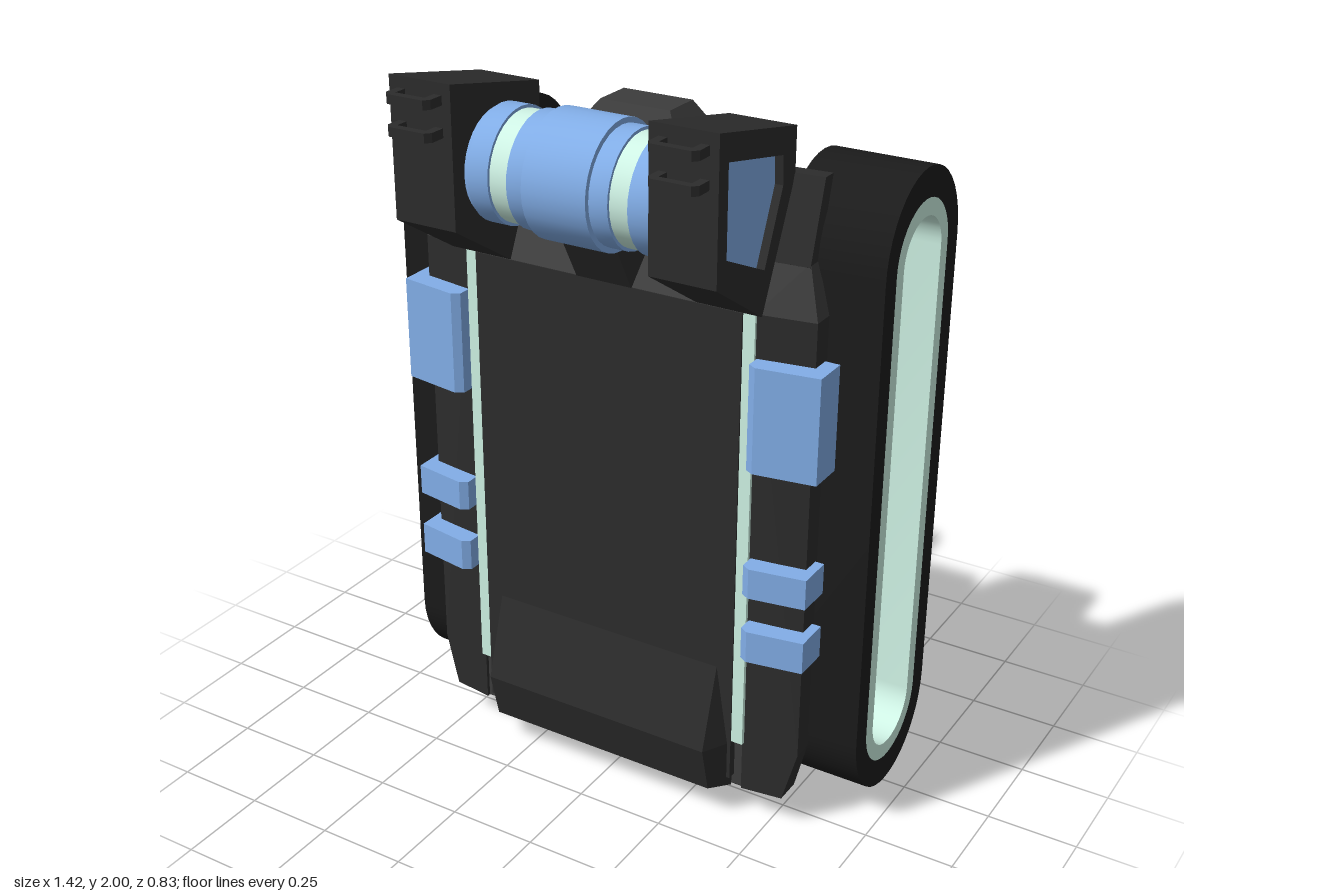
import * as THREE from 'three';
import { toCreasedNormals } from 'three/addons/utils/BufferGeometryUtils.js';
import { ConvexGeometry } from 'three/addons/geometries/ConvexGeometry.js';

const material = (color) => new THREE.MeshStandardMaterial({ color });

export function createModel() {
  const model = new THREE.Group();
  const shell = material(0x3c3c3c);
  const body = material(0x2c2c2c);
  const dark = material(0x1b1b1b);
  const blue = material(0x82aee8);
  const mint = material(0xd0f4e6);

  const add = (name, geometry, mat) => {
    const mesh = new THREE.Mesh(geometry, mat);
    mesh.name = name;
    model.add(mesh);
  };

  // Flat-faced solid around corner points
  const hull = (name, points, mat) =>
    add(name, new ConvexGeometry(points.map((p) => new THREE.Vector3(...p))), mat);

  // Corner points [x, y, z] repeated on both sides
  const both = (points) => points.flatMap(([x, y, z]) => [[x, y, z], [-x, y, z]]);

  // Side outline given as [z, y], extruded across x on side s
  const extrudeX = (name, outline, s, x0, x1, mat, hole) => {
    const toPoints = (list) => list.map(([z, y]) => new THREE.Vector2(-z, y));
    const shape = new THREE.Shape(toPoints(outline));
    // The hole runs the opposite way so that its walls face inward
    if (hole) shape.holes.push(new THREE.Path(toPoints(hole).reverse()));
    const geometry = new THREE.ExtrudeGeometry(shape, { depth: x1 - x0, bevelEnabled: false });
    geometry.rotateY(Math.PI / 2);
    geometry.translate(s > 0 ? x0 : -x1, 0, 0);
    add(name, toCreasedNormals(geometry, 0.45), mat);
  };

  // Long loop with rounded ends
  const loop = (halfWidth, arc) => {
    const points = [];
    for (let end = 0; end < 2; end++) {
      for (let i = 0; i <= 20; i++) {
        const a = Math.PI * (end + i / 20);
        points.push([
          -0.203 + halfWidth * Math.cos(a),
          0.93 + (end ? -0.65 : 0.65) + arc * Math.sin(a),
        ]);
      }
    }
    return points;
  };

  // Main body with sloped top and bottom
  hull('mainBody', both([
    [0.43, 0.2, -0.21], [0.43, 1.52, -0.21],
    [0.385, 1.62, -0.17], [0.385, 1.62, -0.02], [0.435, 1.6, -0.06],
    [0.435, 1.6, 0], [0.43, 1.48, 0.09], [0.43, 0.09, 0.09], [0.39, 0.07, -0.15],
  ]), shell);
  hull('lowerSkid', both([
    [0.39, 0.1, 0.03], [0.39, 0.07, 0.015], [0.38, 0, -0.015],
    [0.38, 0.02, -0.11], [0.39, 0.05, -0.13], [0.41, 0.14, -0.18],
  ]), shell);
  hull('frontPanel', both([
    [0.392, 0.12, 0.05], [0.392, 0.12, 0.115], [0.392, 1.48, 0.117], [0.392, 1.48, 0.05],
  ]), body);
  hull('frontSlope', both([
    [0.392, 1.478, 0.116], [0.385, 1.62, -0.02], [0.392, 1.478, -0.02],
  ]), shell);
  hull('frontBumper', both([
    [0.345, 0.48, 0.11], [0.345, 0.23, 0.185], [0.345, 0.09, 0.15],
    [0.39, 0.23, 0.1], [0.39, 0.09, 0.1], [0.345, 0.09, 0.03], [0.345, 0.48, 0.05],
  ]), body);

  // Rear top block and the neck holding the drum
  hull('rearBlock', both([
    [0.14, 1.5, -0.185], [0.14, 1.84, -0.165], [0.1, 1.895, -0.14],
    [0.1, 1.895, -0.03], [0.14, 1.84, 0.01], [0.14, 1.5, 0.02],
  ]), shell);
  hull('drumNeck', both([
    [0.08, 1.48, 0], [0.08, 1.48, 0.118], [0.08, 1.61, 0.19],
    [0.08, 1.7, 0.17], [0.08, 1.78, 0.1], [0.08, 1.78, 0],
  ]), body);

  // Drum between the pods, turned around x
  const turned = (name, profile) => {
    const geometry = new THREE.LatheGeometry(
      profile.map(([x, r]) => new THREE.Vector2(r, x)), 32);
    geometry.rotateZ(-Math.PI / 2);
    geometry.translate(0, 1.762, 0.173);
    add(name, toCreasedNormals(geometry.toNonIndexed(), 0.5), name === 'drumMintCore' ? mint : blue);
  };
  turned('drumCentre', [
    [-0.142, 0], [-0.142, 0.15], [-0.09, 0.15], [-0.09, 0.164],
    [0.09, 0.164], [0.09, 0.15], [0.142, 0.15], [0.142, 0],
  ]);
  turned('drumMintCore', [[-0.205, 0], [-0.205, 0.142], [0.205, 0.142], [0.205, 0]]);
  for (const s of [1, -1]) {
    const end = [[0.196, 0], [0.196, 0.15], [0.255, 0.15], [0.277, 0.135], [0.277, 0]];
    turned('drumEnd', s > 0 ? end : end.map(([x, r]) => [-x, r]).reverse());
  }

  for (const s of [1, -1]) {
    const side = (points) => points.map(([x, y, z]) => [s * x, y, z]);

    // Track loop with a mint-lined deep recess
    const recess = loop(0.15, 0.15);
    extrudeX('track', loop(0.211, 0.23), s, 0.435, 0.71, dark, recess);
    extrudeX('trackLining', recess, s, 0.46, 0.71, mint, loop(0.11, 0.105));
    extrudeX('trackFloor', recess, s, 0.437, 0.46, dark);

    // Front side panel, its slope and the leaning upper flap
    hull('sidePanel', side([
      [0.42, 0.09, 0.1], [0.535, 0.09, 0.085], [0.575, 0.24, 0.08],
      [0.575, 1.48, 0.08], [0.42, 1.48, 0.105],
      [0.42, 0.09, 0], [0.535, 0.09, 0.01], [0.575, 0.24, 0.02],
      [0.575, 1.48, 0.02], [0.42, 1.48, 0],
    ]), body);
    hull('sideSlope', side([
      [0.42, 1.48, 0.105], [0.575, 1.48, 0.08], [0.53, 1.61, 0.04], [0.42, 1.61, 0.05],
      [0.42, 1.48, 0], [0.575, 1.48, 0.02], [0.53, 1.61, 0], [0.42, 1.61, 0],
    ]), shell);
    hull('upperFlap', side([
      [0.42, 1.6, 0.055], [0.532, 1.6, 0.045], [0.53, 1.805, -0.02], [0.42, 1.805, -0.01],
      [0.42, 1.58, 0.005], [0.532, 1.58, 0.005], [0.53, 1.805, -0.06], [0.42, 1.805, -0.05],
    ]), body);
    const strip = new THREE.BoxGeometry(0.033, 1.24, 0.052);
    strip.translate(s * 0.4085, 0.86, 0.086);
    add('lightStrip', strip, mint);

    // Blue blocks on the side panel
    for (const [y0, y1, outer] of [[1.08, 1.365, 0.615], [0.725, 0.81, 0.6], [0.535, 0.625, 0.6]]) {
      hull('sideBlock', side([y0, y1].flatMap((y) => [
        [0.428, y, 0.142], [0.45, y, 0.155], [outer, y, 0.13], [outer, y, 0.03], [0.428, y, 0.03],
      ])), blue);
    }

    // Shoulder disc and pod with recessed window
    const disc = new THREE.CylinderGeometry(0.1, 0.1, 0.075, 24);
    disc.rotateZ(Math.PI / 2);
    disc.translate(s * 0.345, 1.7, -0.02);
    add('shoulderDisc', toCreasedNormals(disc, 0.5), shell);
    const outline = [[0.355, 1.997], [-0.015, 1.92], [-0.015, 1.8], [0.13, 1.488], [0.355, 1.63]];
    const windowOutline = [[0.312, 1.92], [0.05, 1.865], [0.045, 1.79], [0.125, 1.605], [0.312, 1.69]];
    extrudeX('pod', outline, s, 0.272, 0.42, body);
    extrudeX('podFrame', outline, s, 0.42, 0.452, body, windowOutline);
    extrudeX('podWindow', windowOutline, s, 0.41, 0.43, blue);

    // Two U-shaped handles on the pod front
    for (const y of [1.955, 1.875]) {
      const u = new THREE.Shape([
        [0.297, 0.35], [0.297, 0.398], [0.31, 0.413], [0.415, 0.413], [0.428, 0.398], [0.428, 0.35],
        [0.405, 0.35], [0.405, 0.391], [0.32, 0.391], [0.32, 0.35],
      ].map(([x, z]) => new THREE.Vector2(s * x, z)));
      const geometry = new THREE.ExtrudeGeometry(u, { depth: 0.024, bevelEnabled: false });
      geometry.rotateX(Math.PI / 2);
      geometry.translate(0, y + 0.012, 0);
      add('podHandle', geometry, body);
    }
  }
  return model;
}
